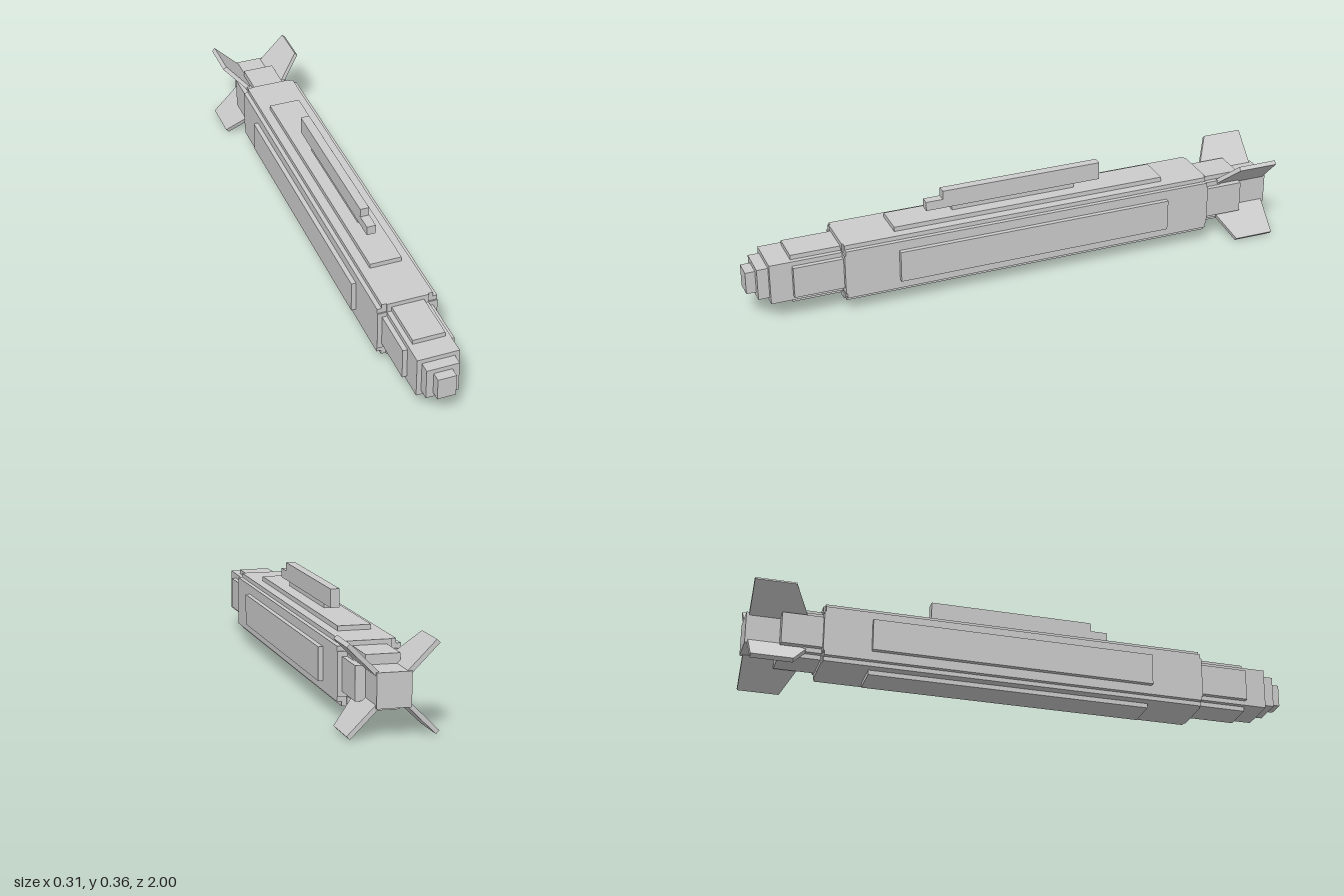
import * as THREE from 'three';

const CY = 0.154; // height of the body axis

export function createModel() {
  const model = new THREE.Group();
  const mat = new THREE.MeshStandardMaterial({ color: 0xcccccc, flatShading: true });

  // box given by half width, bottom, top, back and front
  function block(name, hx, y0, y1, z0, z1) {
    const mesh = new THREE.Mesh(new THREE.BoxGeometry(hx * 2, y1 - y0, z1 - z0), mat);
    mesh.position.set(0, (y0 + y1) / 2, (z0 + z1) / 2);
    mesh.name = name;
    model.add(mesh);
  }

  // body layer centred on the axis
  const layer = (name, hx, hy, z0, z1) => block(name, hx, CY - hy, CY + hy, z0, z1);

  // pair of crossed boxes: a long half-size and a short half-size
  function cross(name, long, short, z0, z1) {
    layer(name + 'Sides', long, short, z0, z1);
    layer(name + 'TopBottom', short, long, z0, z1);
  }

  // stepped body, from the slim core out to the thick middle
  layer('noseTip', 0.033, 0.041, 0.9, 1);
  layer('core', 0.058, 0.058, -1, 0.965);
  layer('innerBody', 0.075, 0.075, -0.8, 0.925);
  cross('foreAftPanel', 0.092, 0.058, -0.88, 0.845);
  cross('bodyPanel', 0.108, 0.075, -0.735, 0.665);
  cross('cornerStep', 0.108, 0.092, -0.73, 0.66);
  cross('middlePanel', 0.125, 0.058, -0.565, 0.467);

  // mounting rail on top
  block('railPylon', 0.012, 0.277, 0.298, -0.235, 0.235);
  block('rail', 0.0165, 0.296, 0.362, -0.333, 0.27);
  block('railNose', 0.0165, 0.296, 0.33, 0.26, 0.333);

  // four diagonal tail fins: shape x is the radius, shape y becomes -z
  const outline = new THREE.Shape([
    [0.06, 0.77], [0.208, 0.843], [0.208, 0.99], [0.06, 0.99],
  ].map(([r, z]) => new THREE.Vector2(r, z)));
  const thickness = 0.016;
  const finGeo = new THREE.ExtrudeGeometry(outline, { depth: thickness, bevelEnabled: false });
  finGeo.translate(0, 0, -thickness / 2);
  finGeo.rotateX(-Math.PI / 2);
  for (let i = 0; i < 4; i++) {
    const fin = new THREE.Mesh(finGeo, mat);
    fin.name = 'tailFin' + (i + 1);
    fin.position.y = CY;
    fin.rotation.z = Math.PI / 4 + i * Math.PI / 2;
    model.add(fin);
  }
  return model;
}
